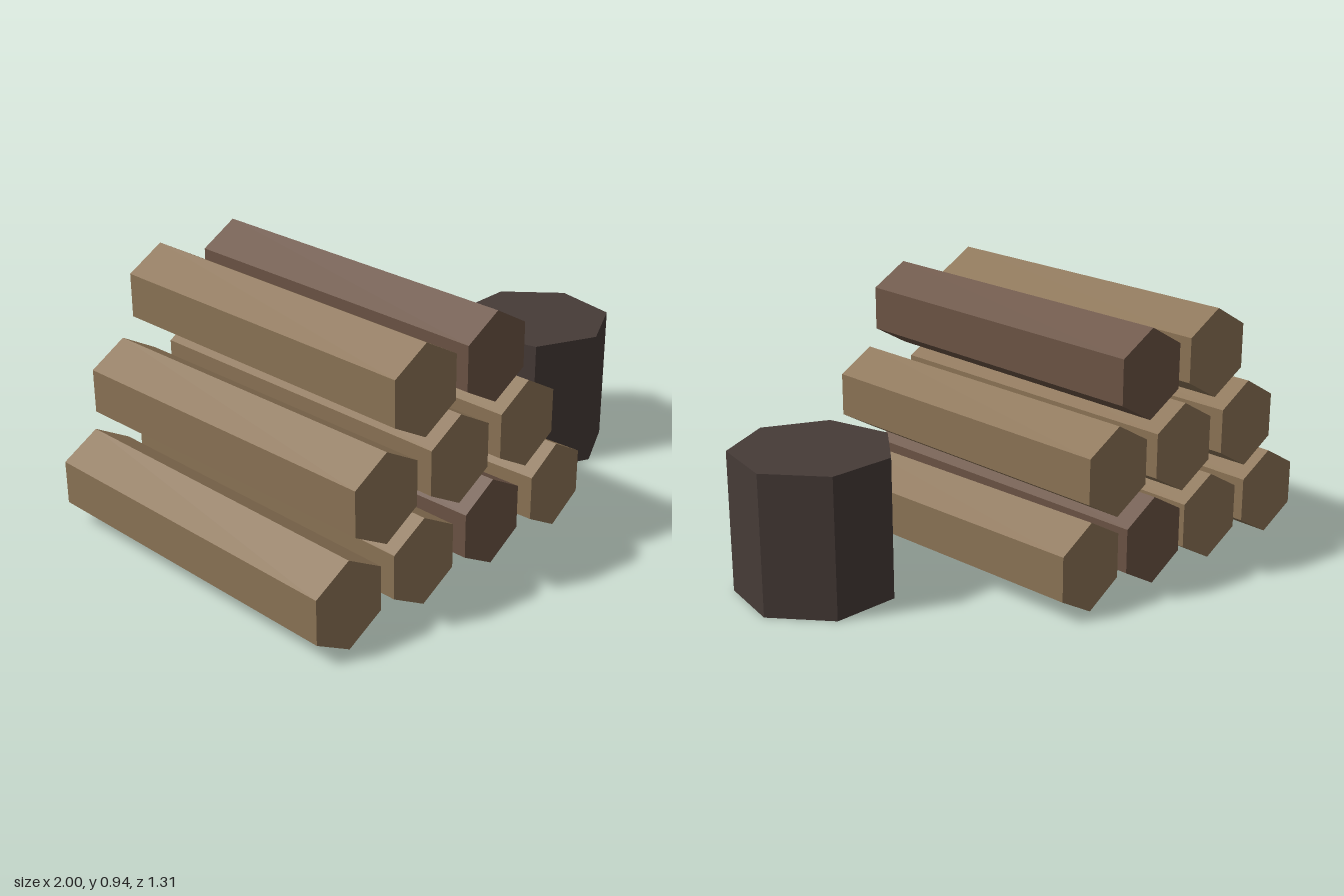
import * as THREE from 'three';

const LOG_RADIUS = 0.163;
const LOG_LENGTH = 1.3;
const ROW_STEP = 0.309;

export function createModel() {
  const model = new THREE.Group();
  model.name = 'woodpile';

  const material = (color) => new THREE.MeshStandardMaterial({ color, flatShading: true });
  const tan = material(0x8b7355);
  const brown = material(0x6b5344);
  const dark = material(0x463b37);

  // Six-sided log lying along z, with a ridge on top
  const logGeometry = new THREE.CylinderGeometry(LOG_RADIUS, LOG_RADIUS, LOG_LENGTH, 6);
  logGeometry.rotateX(Math.PI / 2);

  // Rows from the ground up: [centre x, sideways drift from front to back, material]
  const rows = [
    [[-0.834, 0.052, tan], [-0.481, 0.044, tan], [-0.145, 0.006, brown], [0.198, -0.025, tan]],
    [[-0.671, 0.029, tan], [-0.31, 0.034, tan], [0.043, 0.024, tan]],
    [[-0.481, 0.044, tan], [-0.127, 0.046, brown]],
  ];

  const pile = new THREE.Group();
  pile.name = 'logPile';
  rows.forEach((row, level) => {
    row.forEach(([x, drift, mat], i) => {
      const log = new THREE.Mesh(logGeometry, mat);
      log.name = `logRow${level + 1}Number${i + 1}`;
      log.position.set(x, LOG_RADIUS + level * ROW_STEP, 0);
      log.rotation.y = -Math.asin(drift / LOG_LENGTH);
      pile.add(log);
    });
  });
  model.add(pile);

  // Seven-sided chopping stump beside the pile
  const stump = new THREE.Mesh(new THREE.CylinderGeometry(0.292, 0.292, 0.52, 7), dark);
  stump.name = 'choppingStump';
  stump.position.set(0.715, 0.26, 0.16);
  model.add(stump);

  return model;
}
